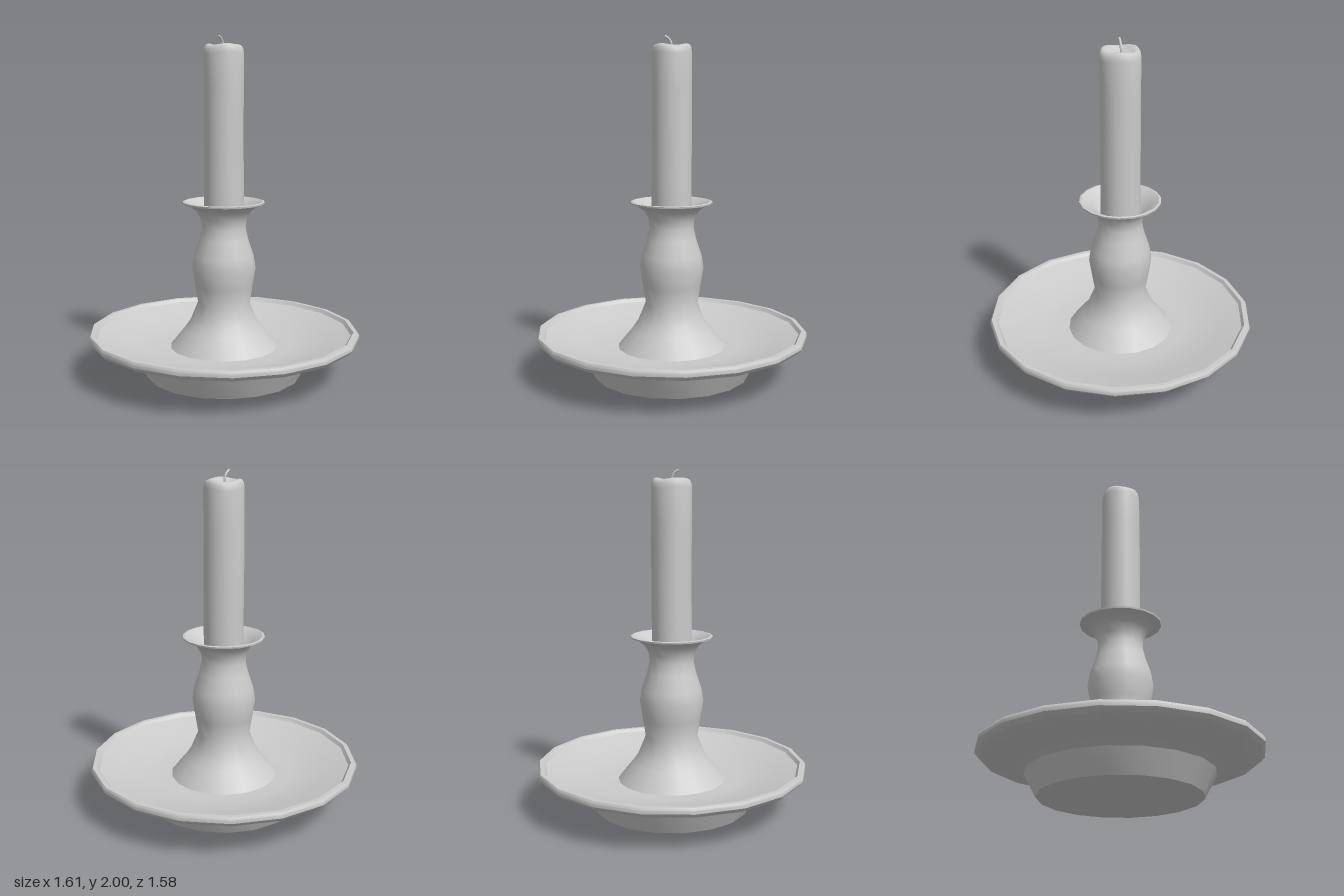
import * as THREE from 'three';
import { toCreasedNormals } from 'three/addons/utils/BufferGeometryUtils.js';

const material = new THREE.MeshStandardMaterial({ color: 0xcccccc });

function addMesh(group, name, geometry) {
  const mesh = new THREE.Mesh(geometry, material);
  mesh.name = name;
  group.add(mesh);
  return mesh;
}

// Turned part from [radius, height] pairs, with a corner on the x axis
function turned(profile, sides) {
  const points = profile.map(([r, y]) => new THREE.Vector2(r, y));
  return new THREE.LatheGeometry(points, sides, Math.PI / 2);
}

export function createModel() {
  const model = new THREE.Group();
  model.name = 'candlestick';

  // Drip dish: flat foot, flared underside, thin rim, hollow top
  const dish = turned([
    [0, 0], [0.46, 0], [0.53, 0.13], [0.64, 0.18], [0.78, 0.215], [0.803, 0.24],
    [0.803, 0.26], [0.795, 0.273], [0.77, 0.273], [0.755, 0.253], [0.62, 0.215],
    [0.5, 0.182], [0.4, 0.17], [0, 0.17],
  ], 18);
  addMesh(model, 'dish', toCreasedNormals(dish, 0.6));

  // Stem: flared foot, swelling, narrow neck and hollow cup
  const stem = turned([
    [0.32, 0.17], [0.235, 0.275], [0.2, 0.325], [0.155, 0.435], [0.172, 0.54],
    [0.189, 0.65], [0.178, 0.72], [0.145, 0.82], [0.13, 0.89], [0.137, 0.94],
    [0.165, 0.99], [0.2, 1.015], [0.24, 1.03], [0.242, 1.04], [0.23, 1.043],
    [0.17, 1.01], [0.13, 0.96], [0.1, 0.94], [0, 0.94],
  ], 18);
  addMesh(model, 'stem', toCreasedNormals(stem, 0.7));

  // Candle: slightly uneven sides and a melted hollow at the top
  const candle = turned([
    [0.117, 0.93], [0.117, 1.2], [0.117, 1.45], [0.117, 1.7], [0.117, 1.9], [0.113, 1.928],
    [0.103, 1.944], [0.088, 1.948], [0.07, 1.938], [0.045, 1.925], [0, 1.92],
  ], 24);
  const p = candle.attributes.position;
  for (let i = 0; i < p.count; i++) {
    const x = p.getX(i), y = p.getY(i), z = p.getZ(i);
    const a = Math.atan2(z, x);
    const s = 1 + 0.012 * Math.sin(3 * a + 5 * y);
    const melt = y > 1.89 ? 0.006 * Math.sin(3 * a + 1) * Math.hypot(x, z) / 0.1 : 0;
    p.setXYZ(i, x * s, y + melt, z * s);
  }
  addMesh(model, 'candle', toCreasedNormals(candle, 1));

  // Bent wick with a closed tip
  const curve = new THREE.CatmullRomCurve3([
    new THREE.Vector3(0, 1.91, -0.005), new THREE.Vector3(-0.002, 1.95, -0.005),
    new THREE.Vector3(-0.014, 1.978, -0.006), new THREE.Vector3(-0.036, 1.994, -0.007),
  ]);
  const wick = new THREE.Group();
  wick.name = 'wick';
  addMesh(wick, 'wickStrand', new THREE.TubeGeometry(curve, 10, 0.007, 8));
  const tip = addMesh(wick, 'wickTip', new THREE.SphereGeometry(0.007, 8, 6));
  tip.position.copy(curve.getPoint(1));
  model.add(wick);

  return model;
}
